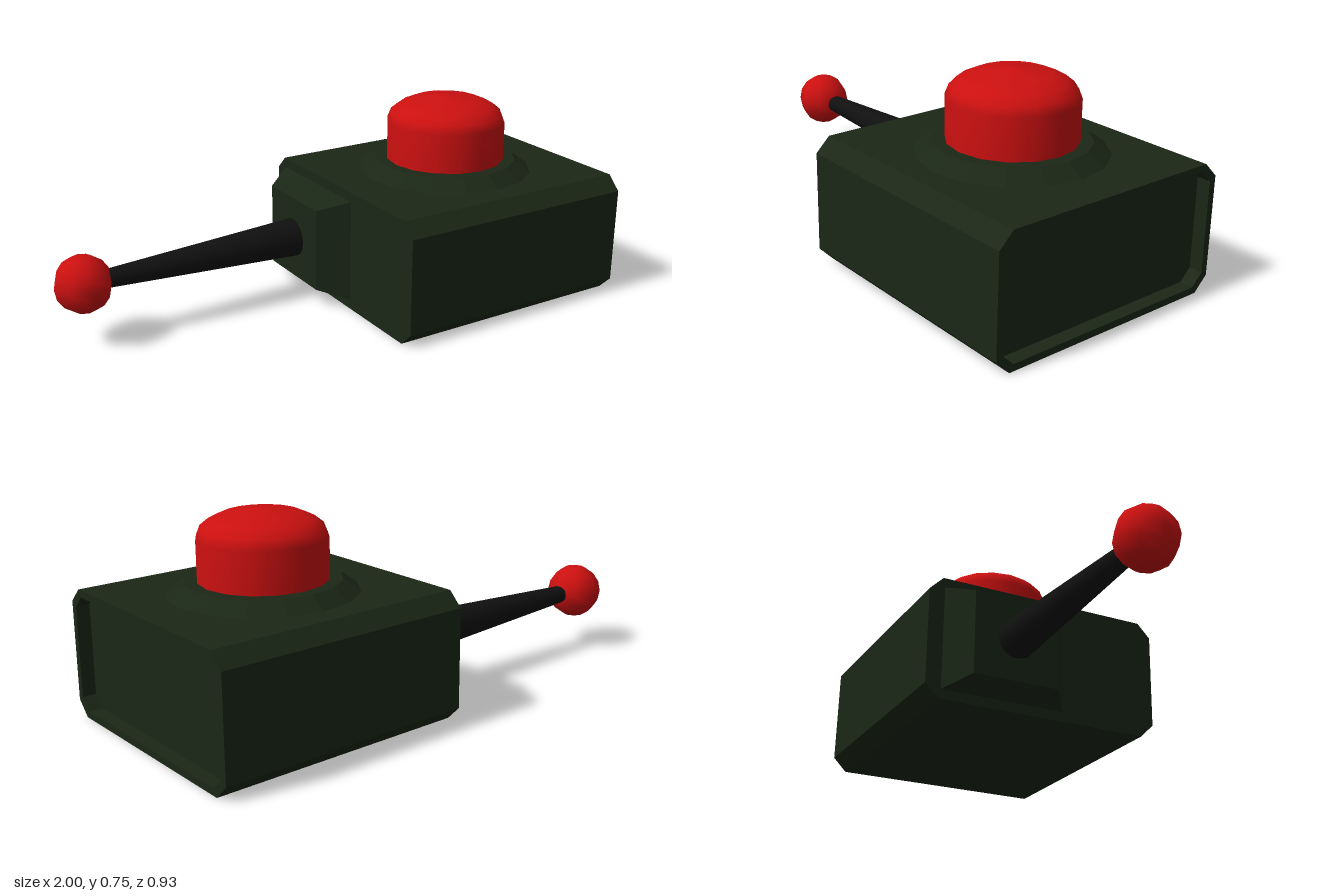
import * as THREE from 'three';

const green = new THREE.MeshStandardMaterial({ color: 0x1b2716 });
const greenFlat = new THREE.MeshStandardMaterial({ color: 0x1b2716, flatShading: true });
const red = new THREE.MeshStandardMaterial({ color: 0xcc1010 });
const black = new THREE.MeshStandardMaterial({ color: 0x101010 });

// Chamfered rectangle centred on the origin
function octagon(w, h, c) {
  return [[w - c, -h], [w, c - h], [w, h - c], [w - c, h], [c - w, h], [-w, h - c], [-w, c - h], [c - w, -h]]
    .map(([x, y]) => new THREE.Vector2(x, y));
}

// Extrude a z/y section along x, from x0 to x1
function alongX(shape, x0, x1) {
  return new THREE.ExtrudeGeometry(shape, { depth: x1 - x0, bevelEnabled: false })
    .rotateY(Math.PI / 2).translate(x0, 0, 0);
}

function lathe(points, segments) {
  return new THREE.LatheGeometry(points.map(([r, y]) => new THREE.Vector2(r, y)), segments);
}

export function createModel() {
  const group = new THREE.Group();
  const add = (name, geometry, material, x, y, z) => {
    const mesh = new THREE.Mesh(geometry, material);
    mesh.name = name;
    mesh.position.set(x, y, z);
    group.add(mesh);
  };

  // Chamfered housing with a shallow recess in its +x end
  const section = octagon(0.464, 0.232, 0.052);
  add('housing', alongX(new THREE.Shape(section), 0.05, 0.95), green, 0, 0.232, 0);
  const rim = new THREE.Shape(section);
  rim.holes.push(new THREE.Path(octagon(0.439, 0.207, 0.042).reverse()));
  add('endRim', alongX(rim, 0.95, 1), green, 0, 0.232, 0);

  // Tapered lever mount: the outer end of a box is narrowed
  const mount = new THREE.BoxGeometry(0.105, 0.39, 0.48);
  const p = mount.attributes.position;
  for (let i = 0; i < p.count; i++) {
    if (p.getX(i) < 0) p.setXYZ(i, p.getX(i), p.getY(i) * 0.81, p.getZ(i) * 0.69);
  }
  mount.computeVertexNormals();
  add('leverMount', mount, green, -0.0025, 0.232, -0.165);

  // Tapered lever and its knob
  const lever = new THREE.CylinderGeometry(0.033, 0.073, 0.77, 16).rotateZ(Math.PI / 2);
  add('lever', lever, black, -0.435, 0.232, -0.167);
  add('knob', new THREE.SphereGeometry(0.105, 8, 8), red, -0.895, 0.232, -0.167);

  // Sloped collar and domed push button
  add('buttonCollar', lathe([[0.335, 0.46], [0.27, 0.506], [0, 0.506]], 16), greenFlat, 0.525, 0, 0);
  const dome = [[0.225, 0.5], [0.225, 0.652], [0.212, 0.685], [0.181, 0.71], [0.13, 0.732], [0, 0.75]];
  add('pushButton', lathe(dome, 16), red, 0.525, 0, 0);

  return group;
}
